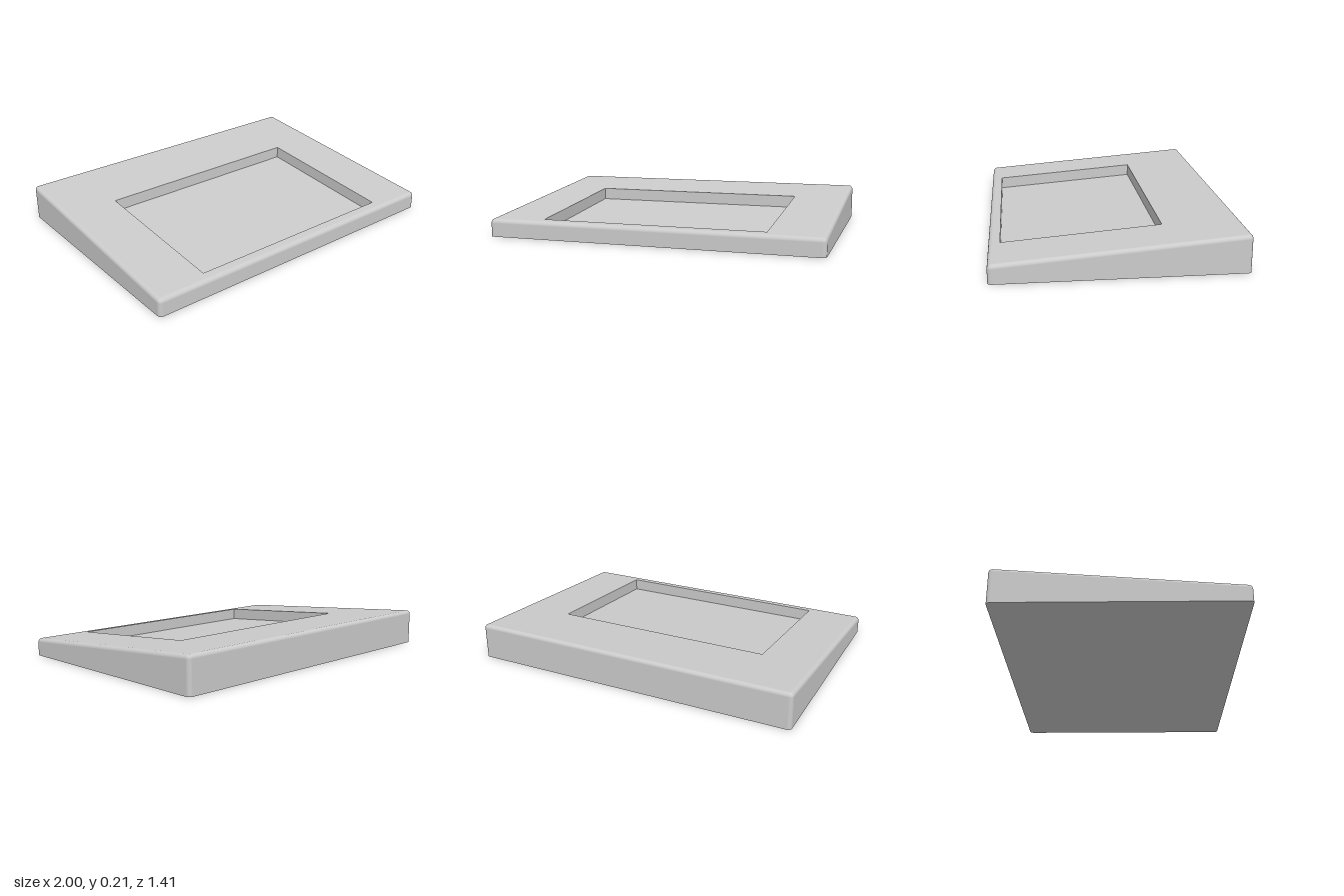
import * as THREE from 'three';

const W = 1, D = 0.706, R = 0.024;                  // half width, half depth, edge radius
const SLOPE = 0.0787, MID = 0.161;                  // tilt and centre height of the top
const HX = 0.67, HZ0 = -0.27, HZ1 = 0.64, DEPTH = 0.073; // recess outline and depth
const topY = z => MID - SLOPE * z;

function buildGeometry(positions, index, normals) {
  const g = new THREE.BufferGeometry();
  g.setAttribute('position', new THREE.Float32BufferAttribute(positions, 3));
  if (index) g.setIndex(index);
  if (normals) g.setAttribute('normal', new THREE.Float32BufferAttribute(normals, 3));
  else g.computeVertexNormals();
  return g;
}

// Rounded-rectangle footprint: corner centres and outward directions
function footprint(steps = 6) {
  const pts = [];
  [[1, 1], [-1, 1], [-1, -1], [1, -1]].forEach(([sx, sz], c) => {
    for (let i = 0; i <= steps; i++) {
      const t = (c + i / steps) * Math.PI / 2;
      pts.push({ cx: sx * (W - R), cz: sz * (D - R), dx: Math.cos(t), dz: Math.sin(t) });
    }
  });
  return pts;
}

// Upright sides that roll over into the sloping top
function sideGeometry() {
  const ring = footprint(), n = ring.length, arc = 6;
  const pos = [], nor = [], idx = [];
  for (let row = 0; row <= arc + 1; row++) {
    const a = Math.max(0, row - 1) / arc * Math.PI / 2, c = Math.cos(a), s = Math.sin(a);
    for (const p of ring) {
      const z = p.cz + R * c * p.dz;
      pos.push(p.cx + R * c * p.dx, row === 0 ? 0 : topY(z) - R + R * s, z);
      nor.push(...new THREE.Vector3(p.dx * c, s, p.dz * c + SLOPE * s).normalize().toArray());
    }
  }
  for (let row = 0; row <= arc; row++) {
    for (let i = 0; i < n; i++) {
      const p = row * n + i, q = row * n + (i + 1) % n;
      idx.push(p, p + n, q, q, p + n, q + n);
    }
  }
  return buildGeometry(pos, idx, nor);
}

// Lays a flat shape onto the slope, lowered by drop
function onSlope(geometry, drop = 0) {
  geometry.rotateX(-Math.PI / 2);
  const p = geometry.attributes.position;
  for (let i = 0; i < p.count; i++) p.setY(i, topY(p.getZ(i)) - drop);
  geometry.computeVertexNormals();
  return geometry;
}

const rectangle = (x, z0, z1) =>
  [[-x, -z1], [x, -z1], [x, -z0], [-x, -z0]].map(([a, b]) => new THREE.Vector2(a, b));

// Vertical walls of the recess, facing inward
function recessWallGeometry() {
  const corners = [[HX, HZ1], [-HX, HZ1], [-HX, HZ0], [HX, HZ0]];
  const pos = [];
  corners.forEach(([x, z], i) => {
    const [x2, z2] = corners[(i + 1) % 4];
    const a = [x, topY(z) - DEPTH, z], b = [x2, topY(z2) - DEPTH, z2];
    const c = [x, topY(z), z], d = [x2, topY(z2), z2];
    pos.push(...a, ...b, ...c, ...b, ...d, ...c);
  });
  return buildGeometry(pos);
}

export function createModel() {
  const group = new THREE.Group();
  group.name = 'wedgeStand';
  const material = new THREE.MeshStandardMaterial({ color: 0xcccccc });
  const add = (name, geometry) => {
    const mesh = new THREE.Mesh(geometry, material);
    mesh.name = name;
    group.add(mesh);
  };

  add('roundedSides', sideGeometry());

  // Sloping top with the recess opening
  const top = new THREE.Shape(rectangle(W - R, -(D - R), D - R));
  top.holes.push(new THREE.Path(rectangle(HX, HZ0, HZ1)));
  add('topFace', onSlope(new THREE.ShapeGeometry(top)));

  add('recessWalls', recessWallGeometry());
  add('recessFloor', onSlope(new THREE.ShapeGeometry(new THREE.Shape(rectangle(HX, HZ0, HZ1))), DEPTH));

  // Flat underside
  const outline = footprint().map(p => new THREE.Vector2(p.cx + R * p.dx, p.cz + R * p.dz));
  add('base', new THREE.ShapeGeometry(new THREE.Shape(outline)).rotateX(Math.PI / 2));

  return group;
}
